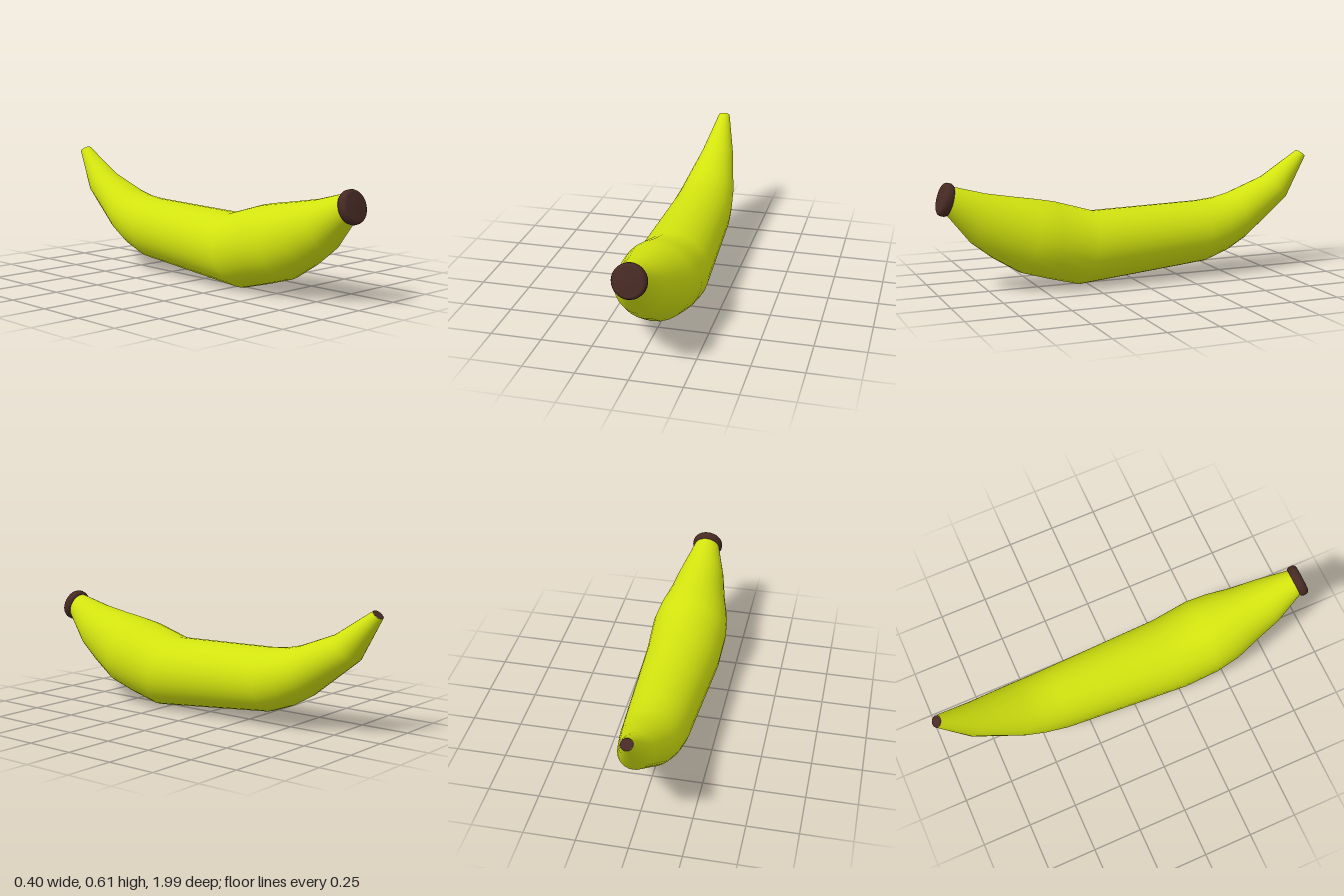
import * as THREE from 'three';

const SIDES = 28;

// Cross-sections from the back tip to the front neck: [topZ, topY, bottomZ, bottomY, halfWidth]
const SECTIONS = [
  [-0.95, 0.615, -0.995, 0.58, 0.03],
  [-0.75, 0.485, -0.875, 0.37, 0.086],
  [-0.555, 0.41, -0.62, 0.17, 0.137],
  [-0.47, 0.39, -0.515, 0.11, 0.15],
  [-0.37, 0.38, -0.39, 0.065, 0.161],
  [0.205, 0.365, 0.3, 0.003, 0.193],
  [0.41, 0.425, 0.46, 0.045, 0.199],
  [0.5, 0.442, 0.595, 0.085, 0.184],
  [0.6, 0.458, 0.73, 0.168, 0.15],
  [0.755, 0.485, 0.835, 0.25, 0.12],
  [0.925, 0.53, 0.955, 0.4, 0.066],
];

// Smooth skin through elliptical rings
function loft(sections) {
  const pos = [], index = [];
  sections.forEach(([tz, ty, bz, by, hw], i) => {
    for (let j = 0; j < SIDES; j++) {
      const a = (j / SIDES) * Math.PI * 2, c = Math.cos(a) / 2;
      pos.push(hw * Math.sin(a), (ty + by) / 2 + (ty - by) * c, (tz + bz) / 2 + (tz - bz) * c);
      if (i === 0) continue;
      const k = (j + 1) % SIDES, p = (i - 1) * SIDES, q = i * SIDES;
      index.push(p + j, q + j, p + k, p + k, q + j, q + k);
    }
  });
  const geo = new THREE.BufferGeometry();
  geo.setAttribute('position', new THREE.Float32BufferAttribute(pos, 3));
  geo.setIndex(index);
  geo.computeVertexNormals();
  return geo;
}

export function createModel() {
  const group = new THREE.Group();
  const peel = new THREE.MeshStandardMaterial({ color: 0xd2e30f });
  const brown = new THREE.MeshStandardMaterial({ color: 0x472a24 });
  const add = (name, geo, mat) => {
    const mesh = new THREE.Mesh(geo, mat);
    mesh.name = name;
    group.add(mesh);
    return mesh;
  };

  // Curved fruit body
  add('peel', loft(SECTIONS), peel);

  // Flat dark end of the back tip
  const tip = add('tipEnd', new THREE.CircleGeometry(0.029, SIDES), brown);
  tip.position.set(0, 0.5975, -0.9725);
  tip.lookAt(0, 0.5975 + 0.045, -0.9725 - 0.035);

  // Bevelled stem cap, tilted slightly upward
  const profile = [[0, -0.026], [0.062, -0.026], [0.075, -0.021], [0.081, -0.01], [0.081, 0.008],
    [0.076, 0.019], [0.066, 0.025], [0, 0.027]].map(([r, h]) => new THREE.Vector2(r, h));
  const cap = add('stemCap', new THREE.LatheGeometry(profile, SIDES), brown);
  cap.position.set(0, 0.467, 0.953);
  cap.rotation.x = Math.PI / 2 - 0.28;

  return group;
}
